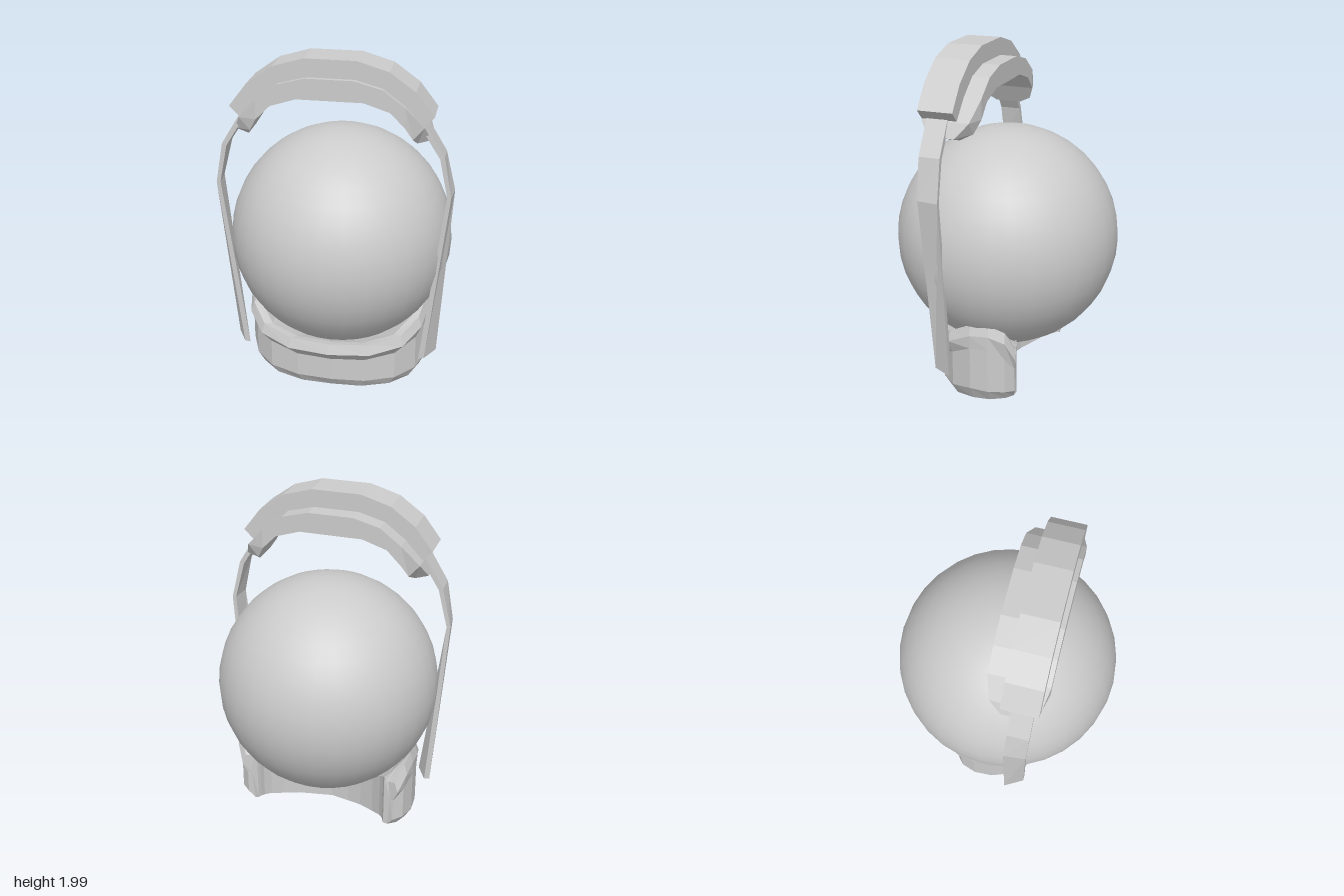
import * as THREE from 'three';

const material = new THREE.MeshStandardMaterial({ color: 0xcccccc, flatShading: true });
const smooth = new THREE.MeshStandardMaterial({ color: 0xcccccc });
const CENTRE = [0.01, 0.89, 0], RADIUS = 0.64;

// Skin closed cross-sections (arrays of [x, y, z]) and cap both ends.
function loft(name, sections) {
  const n = sections[0].length, pos = sections.flat(2), index = [];
  for (let i = 0; i < sections.length - 1; i++) {
    for (let j = 0; j < n; j++) {
      const k = (j + 1) % n;
      const a = i * n + j, b = i * n + k, c = (i + 1) * n + k, d = (i + 1) * n + j;
      index.push(a, d, b, d, c, b);
    }
  }
  [0, sections.length - 1].forEach((s) => {
    const mid = [0, 1, 2].map((k) => sections[s].reduce((t, p) => t + p[k], 0) / n);
    const m = pos.length / 3;
    pos.push(...mid);
    for (let j = 0; j < n; j++) {
      const a = s * n + j, b = s * n + (j + 1) % n;
      if (s === 0) index.push(m, a, b); else index.push(m, b, a);
    }
  });
  const g = new THREE.BufferGeometry();
  g.setAttribute('position', new THREE.Float32BufferAttribute(pos, 3));
  g.setIndex(index);
  g.computeVertexNormals();
  const mesh = new THREE.Mesh(g, material);
  mesh.name = name;
  return mesh;
}

// Stations run from the middle to the +x end; mirror them to the -x side.
function mirrored(half, skipMiddle = false) {
  const other = half.slice(skipMiddle ? 1 : 0).reverse();
  return [...other.map((s) => s.map(([x, y, z]) => [-x, y, z])), ...half];
}

// Rectangular section: outer xy, inner xy, z range, inward twist of the front edge.
const band = ([ox, oy, ix, iy, z0, z1, twist = 0]) => [
  [ix, iy, z0], [ix - twist, iy, z1], [ox - twist, oy, z1], [ox, oy, z0],
];

const ballUnderside = (x, z) =>
  CENTRE[1] - Math.sqrt(Math.max(0, RADIUS ** 2 - x * x - z * z));

// Kidney-shaped collar with a flared rim, open at the back.
function collar() {
  // outer x, z | inner x, z | flare, wall top, rim top, wall foot, base, inner top
  const stations = [
    [0, 0.33, 0, 0.04, 0.07, 0.21, 0.34, 0.07, 0.01, 0.1],
    [0.2, 0.315, 0.11, 0.02, 0.07, 0.215, 0.345, 0.07, 0.01, 0.22],
    [0.37, 0.26, 0.2, -0.01, 0.06, 0.25, 0.38, 0.08, 0.02],
    [0.48, 0.16, 0.29, -0.06, 0.035, 0.31, 0.45, 0.1, 0.03],
    [0.535, 0.03, 0.35, -0.11, 0.005, 0.38, 0.52, 0.13, 0.05],
    [0.54, -0.08, 0.38, -0.15, 0, 0.39, 0.53, 0.13, 0.06],
    [0.51, -0.17, 0.39, -0.18, 0.02, 0.33, 0.5, 0.13, 0.07],
    [0.46, -0.21, 0.4, -0.2, 0.03, 0.26, 0.39, 0.12, 0.07],
  ];
  const sections = stations.map(([x, z, u, w, flare, wall, rim, foot, base, top]) => {
    const len = Math.hypot(x, z), dx = x / len, dz = z / len;
    const out = (d, y) => [x + dx * d, y, z + dz * d];
    const lip = out(flare - 0.07, 0);
    lip[1] = Math.min(rim - 0.01, ballUnderside(lip[0], lip[2]) - 0.005);
    const mx = (lip[0] + u) / 2, mz = (lip[2] + w) / 2;
    return [
      [u, base + 0.01, w], out(-0.04, base), out(0, foot), out(0, wall),
      out(flare, rim - 0.06), out(flare - 0.02, rim), lip,
      [mx, Math.min(lip[1], ballUnderside(mx, mz) - 0.02), mz],
      [u, top ?? ballUnderside(u, w) - 0.02, w],
    ];
  });
  return loft('collar', mirrored(sections, true));
}

export function createModel() {
  const group = new THREE.Group();
  group.name = 'helmet';

  // Glass ball
  const ball = new THREE.Mesh(new THREE.SphereGeometry(RADIUS, 32, 20), smooth);
  ball.name = 'ball';
  ball.position.set(...CENTRE);
  group.add(ball, collar());

  // Thin strap arching over the ball
  group.add(loft('strap', mirrored([
    [0.13, 1.895, 0.13, 1.87, 0.15, 0.27],
    [0.3, 1.85, 0.29, 1.82, 0.15, 0.27],
    [0.5, 1.67, 0.475, 1.655, 0.15, 0.27],
    [0.61, 1.49, 0.585, 1.48, 0.15, 0.27],
    [0.665, 1.26, 0.643, 1.26, 0.145, 0.265, 0.012],
    [0.598, 0.22, 0.565, 0.215, 0.13, 0.24, 0.06],
  ].map(band))));

  // Narrow pad on top of the strap
  group.add(loft('upperPad', mirrored([
    [0.14, 2, 0.13, 1.88, 0.1, 0.3],
    [0.31, 1.95, 0.27, 1.84, 0.1, 0.3],
    [0.45, 1.85, 0.38, 1.76, 0.1, 0.3],
    [0.55, 1.72, 0.48, 1.65, 0.1, 0.3],
  ].map(band))));

  // Wide cushion under the strap, tapering at its ends
  group.add(loft('lowerPad', mirrored([
    [0.13, 1.9, 0.18, 1.785, 0, 0.325],
    [0.28, 1.86, 0.32, 1.74, 0, 0.325],
    [0.4, 1.77, 0.4, 1.66, 0, 0.325],
    [0.5, 1.66, 0.44, 1.59, 0.03, 0.3],
    [0.535, 1.58, 0.46, 1.555, 0.1, 0.25],
  ].map(band))));

  return group;
}
